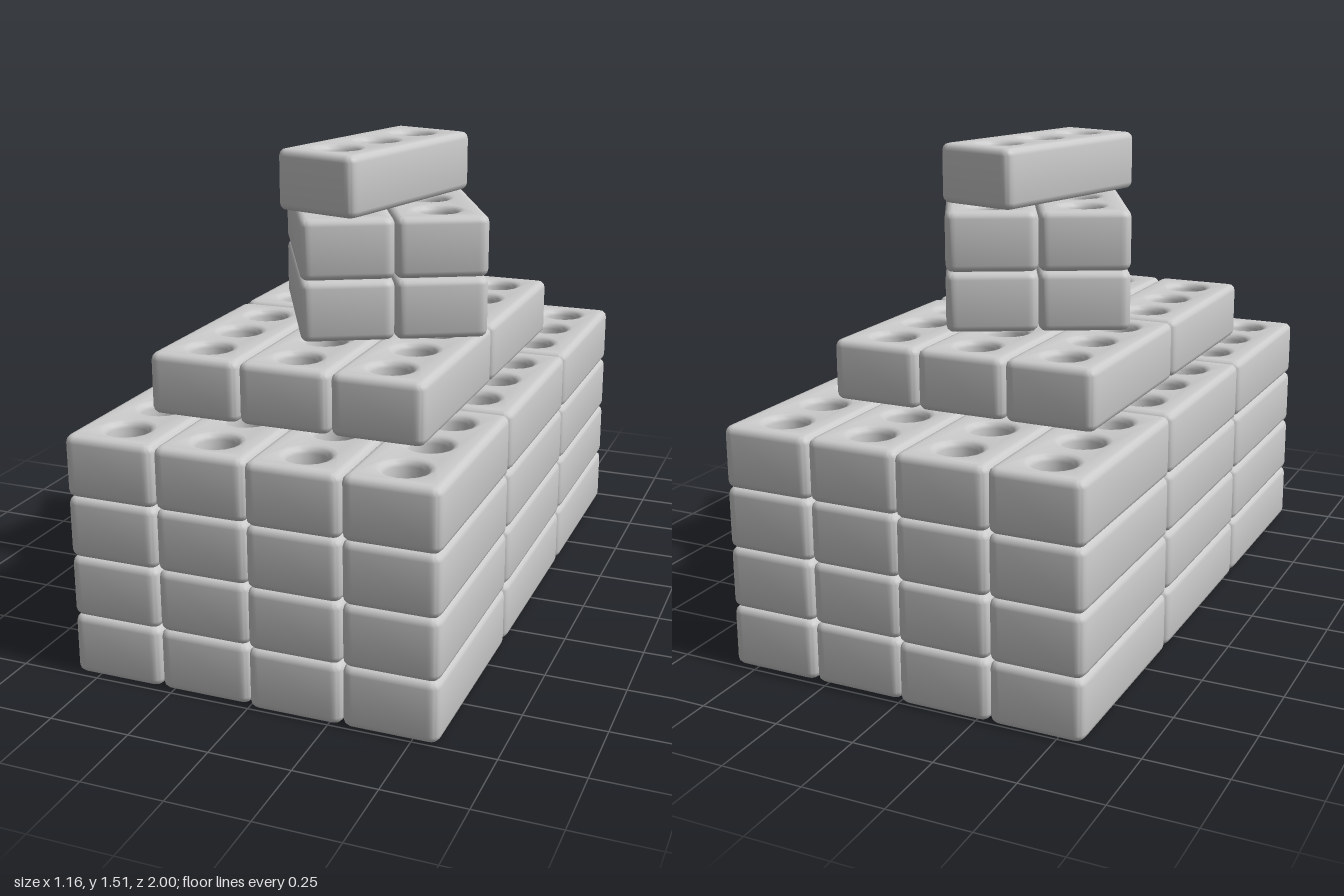
import * as THREE from 'three';
import { toCreasedNormals } from 'three/addons/utils/BufferGeometryUtils.js';

const W = 0.289, L = 0.662, H = 0.189; // brick width, length, height

// Rounded brick with three through holes, standing on y = 0
function brickGeometry() {
  const x = W / 2, y = L / 2, r = 0.035, bevel = 0.022;
  const shape = new THREE.Shape();
  shape.moveTo(-x + r, -y);
  shape.lineTo(x - r, -y);
  shape.quadraticCurveTo(x, -y, x, -y + r);
  shape.lineTo(x, y - r);
  shape.quadraticCurveTo(x, y, x - r, y);
  shape.lineTo(-x + r, y);
  shape.quadraticCurveTo(-x, y, -x, y - r);
  shape.lineTo(-x, -y + r);
  shape.quadraticCurveTo(-x, -y, -x + r, -y);
  for (const hy of [-0.203, 0, 0.203]) {
    const hole = new THREE.Path();
    hole.absarc(0, hy, 0.063, 0, Math.PI * 2, true);
    shape.holes.push(hole);
  }
  const geo = new THREE.ExtrudeGeometry(shape, {
    depth: H - 2 * bevel, steps: 1, curveSegments: 8,
    bevelEnabled: true, bevelThickness: bevel, bevelSize: bevel, bevelOffset: -bevel, bevelSegments: 3,
  });
  geo.translate(0, 0, bevel);
  geo.rotateX(-Math.PI / 2);
  return toCreasedNormals(geo, 0.8);
}

export function createModel() {
  const model = new THREE.Group();
  model.name = 'brickStack';
  const geo = brickGeometry();
  const mat = new THREE.MeshStandardMaterial({ color: 0xcccccc });

  function group(name) {
    const g = new THREE.Group();
    g.name = name;
    model.add(g);
    return g;
  }
  function addBrick(parent, x, y, z) {
    const m = new THREE.Mesh(geo, mat);
    m.name = 'brick';
    m.position.set(x, y, z);
    parent.add(m);
  }

  // Base: four layers of 4 x 3 bricks, columns slightly out of line
  const base = group('baseLayers');
  const shifts = [-0.008, -0.008, 0.004, 0.004];
  for (let layer = 0; layer < 4; layer++)
    for (let c = 0; c < 4; c++)
      for (let row = -1; row <= 1; row++)
        addBrick(base, (c - 1.5) * W, layer * H, row * 0.664 + shifts[c]);

  // Middle layer: 3 x 2 bricks
  const middle = group('middleLayer');
  for (let c = -1; c <= 1; c++)
    for (const z of [-0.279, 0.388]) addBrick(middle, c * 0.291 - 0.003, 4 * H, z);

  // Two turned layers with a pair of bricks each
  const pairs = group('turnedPairs');
  pairs.position.set(0.05, 5 * H, 0.035);
  pairs.rotation.y = 0.48;
  for (let layer = 0; layer < 2; layer++)
    for (const s of [-1, 1]) addBrick(pairs, s * W / 2, layer * 0.191, 0);

  // Single brick on top, turned the other way
  const top = group('topBrick');
  top.position.set(0.038, 1.326, 0.057);
  top.rotation.y = -0.25;
  addBrick(top, 0, 0, 0);

  return model;
}
